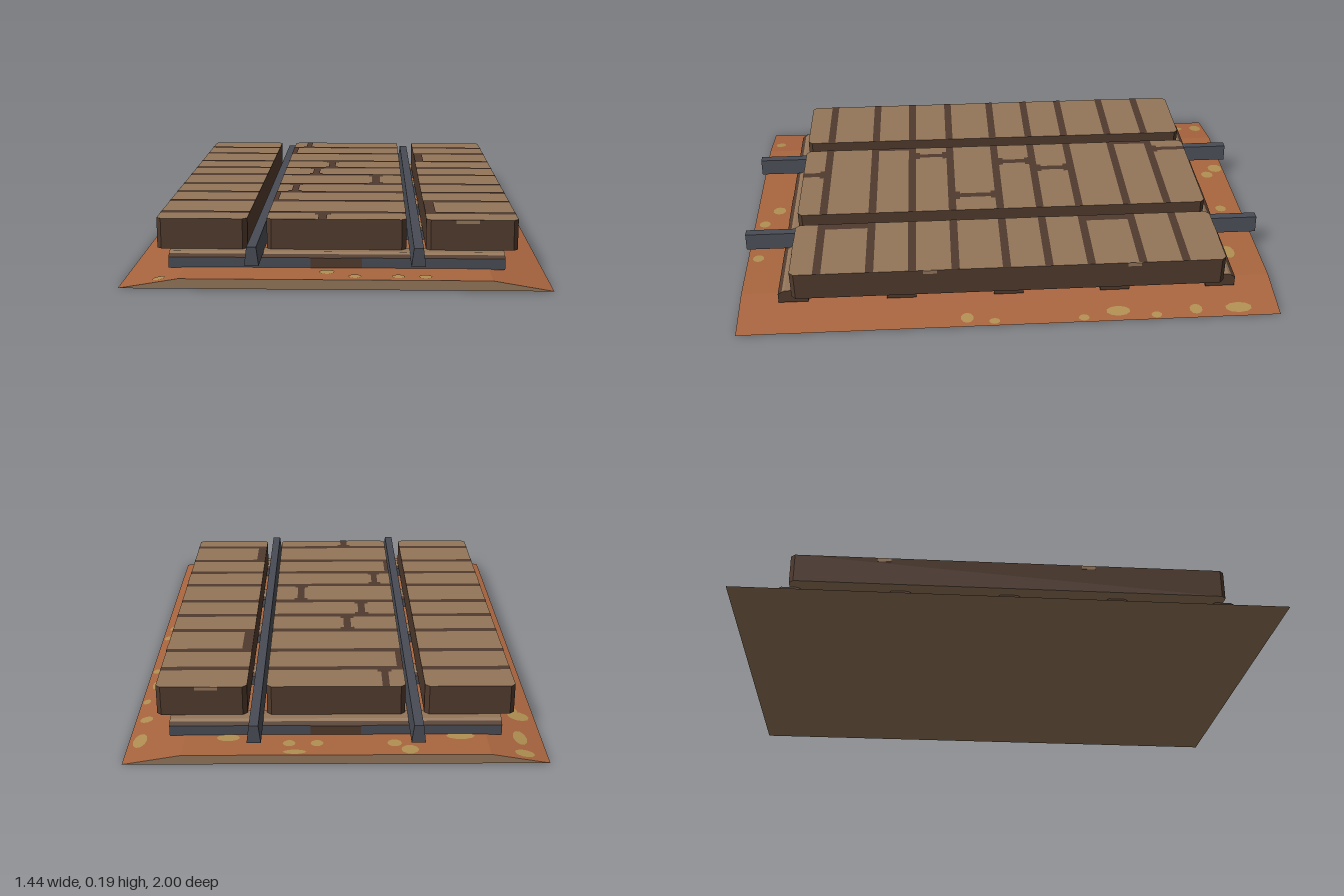
import * as THREE from 'three';

const mat = (name, color) => {
  const m = new THREE.MeshStandardMaterial({ color });
  m.name = name;
  return m;
};

export function createModel() {
  const root = new THREE.Group();
  root.name = 'railCrossing';
  const rust = mat('rustSoil', 0xa9653f);
  const ochre = mat('ochreSpeck', 0xb18f52);
  const tan = mat('tanWood', 0x93765a);
  const dark = mat('darkWood', 0x503a2d);
  const steel = mat('slateSteel', 0x484c54);

  const add = (parent, name, geo, material, x = 0, y = 0, z = 0) => {
    const m = new THREE.Mesh(geo, material);
    m.name = name;
    m.position.set(x, y, z);
    parent.add(m);
    return m;
  };
  // Symmetric trapezoid section, extruded along z and centred
  const trapezoid = (wBottom, wTop, y0, y1, length) => {
    const s = new THREE.Shape([[-wBottom, y0], [wBottom, y0], [wTop, y1], [-wTop, y1]]
      .map(p => new THREE.Vector2(...p)));
    return new THREE.ExtrudeGeometry(s, { depth: length, bevelEnabled: false }).translate(0, 0, -length / 2);
  };
  const flat = (w, d) => new THREE.PlaneGeometry(w, d).rotateX(-Math.PI / 2);

  // Ground bed with sloping shoulders
  const bed = new THREE.Group();
  bed.name = 'bed';
  root.add(bed);
  add(bed, 'bedBody', trapezoid(0.72, 0.52, 0.001, 0.035, 2), [tan, rust]);
  add(bed, 'bedUnderside', new THREE.PlaneGeometry(1.44, 2).rotateX(Math.PI / 2), tan);

  // Ochre specks lying on the bed: x, z, half width, half depth
  const slope = Math.atan2(0.034, 0.2);
  const specks = [
    [-0.64, -0.96, 0.035, 0.025], [-0.25, -0.965, 0.03, 0.03], [-0.2, -0.92, 0.025, 0.025],
    [0.065, -0.92, 0.022, 0.022], [0.16, -0.92, 0.022, 0.022], [0.14, -0.98, 0.04, 0.015],
    [-0.64, -0.85, 0.025, 0.05], [-0.43, -0.87, 0.05, 0.025], [0.37, -0.88, 0.04, 0.025],
    [-0.66, -0.68, 0.04, 0.035], [-0.64, -0.64, 0.025, 0.03], [0.68, -0.85, 0.025, 0.05],
    [0.68, -0.69, 0.024, 0.024], [-0.64, -0.45, 0.024, 0.024], [0.675, -0.4, 0.024, 0.045],
    [0.7, -0.54, 0.015, 0.02], [0.7, -0.27, 0.015, 0.02], [0.68, 0.16, 0.024, 0.024],
    [0.7, 0.06, 0.014, 0.02], [-0.64, 0.3, 0.024, 0.024], [-0.59, 0.96, 0.022, 0.022],
    [-0.03, 0.91, 0.026, 0.026], [0.065, 0.96, 0.022, 0.022], [0.21, 0.96, 0.022, 0.022], [0.3, 0.96, 0.022, 0.022],
  ];
  for (const [x, z, rx, rz] of specks) {
    const shoulder = Math.abs(x) > 0.52;
    const y = shoulder ? 0.001 + 0.17 * (0.72 - Math.abs(x)) : 0.035;
    const speck = add(bed, 'speck', new THREE.CircleGeometry(1, 10).rotateX(-Math.PI / 2), ochre, x, y + 0.0015, z);
    speck.scale.set(rx, 1, rz);
    if (shoulder) speck.rotation.z = -Math.sign(x) * slope;
  }

  // Sleepers: steel-faced base under a chamfered wooden top
  for (const z of [-0.8, -0.4, 0, 0.4, 0.8]) {
    const sleeper = new THREE.Group();
    sleeper.name = 'sleeper';
    sleeper.position.z = z;
    root.add(sleeper);
    add(sleeper, 'sleeperBase', new THREE.BoxGeometry(1.15, 0.038, 0.11),
      [dark, dark, steel, steel, steel, steel], 0, 0.051, 0);
    add(sleeper, 'sleeperChamfer', trapezoid(0.055, 0.04, 0.07, 0.079, 1.15).rotateY(Math.PI / 2), dark);
    add(sleeper, 'sleeperTop', trapezoid(0.04, 0.03, 0.079, 0.085, 1.15).rotateY(Math.PI / 2), [dark, tan]);
    add(sleeper, 'sleeperPatch', new THREE.BoxGeometry(0.175, 0.034, 0.113), dark, 0, 0.052, 0);
  }

  // Rails
  for (const side of [-1, 1])
    add(root, 'rail', trapezoid(0.024, 0.016, 0.081, 0.144, 2), steel, side * 0.275);

  // Plank decks with clipped corners, and dark seams on top
  const seams = [-0.65, -0.49, -0.3, -0.145, 0.01, 0.197, 0.355, 0.51, 0.7];
  const edges = [-0.8, ...seams, 0.8];
  // Butt joints: row index, x, width
  const deck = (name, x0, x1, joints) => {
    const g = new THREE.Group();
    g.name = name;
    root.add(g);
    const c = 0.016, w = (x1 - x0) / 2, h = 0.8, mid = (x0 + x1) / 2;
    const outline = new THREE.Shape([
      [-w + c, -h], [w - c, -h], [w, -h + c], [w, h - c], [w - c, h], [-w + c, h], [-w, h - c], [-w, -h + c],
    ].map(p => new THREE.Vector2(...p)));
    const geo = new THREE.ExtrudeGeometry(outline, { depth: 0.107, bevelEnabled: false }).rotateX(-Math.PI / 2);
    add(g, 'planks', geo, [tan, dark], mid, 0.085, 0);
    for (const z of seams) add(g, 'seam', flat(2 * w, 0.03), dark, mid, 0.1935, z);
    for (const [row, x, width] of joints) {
      const a = edges[row], b = edges[row + 1];
      add(g, 'joint', flat(width, b - a), dark, x, 0.1935, (a + b) / 2);
      // Joints flare where they meet the seams
      for (const z of [a + 0.022, b - 0.022])
        if (Math.abs(z) < 0.77 && Math.abs(x) < 0.2)
          add(g, 'jointFlare', flat(width + 0.025, 0.02), dark, x, 0.1938, z);
    }
  };
  deck('rightDeck', -0.625, -0.31, []);
  deck('centreDeck', -0.243, 0.24, [
    [0, -0.175, 0.025], [1, -0.232, 0.022], [3, -0.05, 0.028], [4, -0.11, 0.028],
    [5, 0.137, 0.028], [6, -0.175, 0.025], [7, -0.234, 0.018], [9, -0.05, 0.03],
  ]);
  deck('leftDeck', 0.308, 0.625, [[2, 0.327, 0.036], [8, 0.327, 0.036]]);

  // Worn pale chips along the upper deck edges
  for (const side of [-1, 1]) {
    add(root, 'endChip', new THREE.BoxGeometry(0.08, 0.012, 0.003), tan, 0.45, 0.185, side * 0.8);
    for (const z of [0.29, -0.46])
      add(root, 'sideChip', new THREE.BoxGeometry(0.003, 0.014, 0.05), tan, side * 0.625, 0.184, z);
  }
  return root;
}
